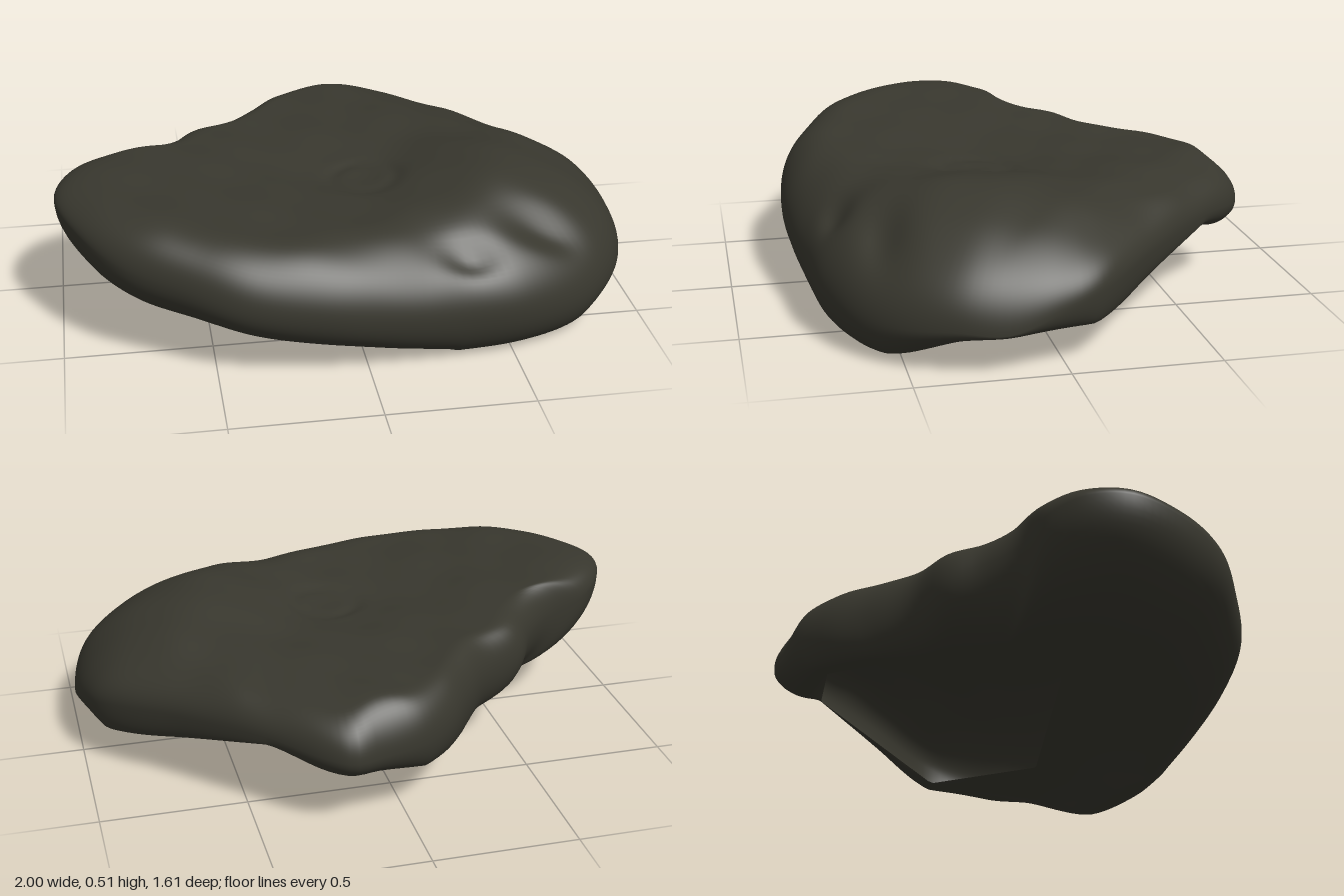
import * as THREE from 'three';
import { mergeVertices } from 'three/addons/utils/BufferGeometryUtils.js';

const SPOKES = 180, TOP_RINGS = 44, UNDER_RINGS = 26;
const CENTRE = { x: 0.2, z: -0.1 };

// Widest outline of the slab: x, height, z
const RIM = [
  [1.0, 0.15, 0.2], [0.965, 0.16, 0.36], [0.88, 0.15, 0.51], [0.74, 0.15, 0.64], [0.53, 0.17, 0.73],
  [0.3, 0.18, 0.76], [0.05, 0.21, 0.79], [-0.15, 0.24, 0.8], [-0.42, 0.28, 0.77], [-0.62, 0.33, 0.68],
  [-0.8, 0.37, 0.57], [-0.93, 0.42, 0.4], [-1.0, 0.45, 0.2], [-0.96, 0.45, 0.05], [-0.87, 0.42, -0.05],
  [-0.71, 0.38, -0.11], [-0.61, 0.36, -0.2], [-0.53, 0.34, -0.32], [-0.38, 0.32, -0.41],
  [-0.28, 0.31, -0.53], [-0.17, 0.3, -0.67], [-0.05, 0.29, -0.75], [0.1, 0.28, -0.785],
  [0.2, 0.28, -0.81], [0.28, 0.29, -0.775], [0.46, 0.31, -0.6], [0.7, 0.29, -0.355],
  [0.935, 0.25, -0.12], [0.985, 0.21, 0.02],
];

// Corners of the opening underneath
const OPENING = [
  [0.83, 0.13, -0.1], [0.44, 0.08, 0.24], [-0.285, 0.13, 0.15],
  [-0.18, 0.16, -0.48], [-0.04, 0.17, -0.64], [0.45, 0.28, -0.605],
];

const { lerp, smoothstep } = THREE.MathUtils;
const bump = (x, z, cx, cz, rx, rz = rx) => Math.exp(-(((x - cx) / rx) ** 2) - ((z - cz) / rz) ** 2);

// Uneven upper face with a shallow round dent
function topHeight(x, z) {
  const r = Math.hypot(x - 0.08, z - 0.13);
  return 0.451
    + 0.07 * smoothstep(-x, 0.1, 0.95)
    + 0.065 * bump(x, z, 0.48, 0.22, 0.24, 0.3)
    - 0.045 * smoothstep(x - z, 0.7, 1.05)
    - 0.03 * bump(x, z, 0.05, 0.1, 0.3)
    - 0.05 * bump(x, z, 0.65, 0.54, 0.14, 0.07)
    - 0.05 * bump(x, z, 0.35, 0.66, 0.09, 0.05)
    - 0.009 * Math.exp(-(((r - 0.115) / 0.03) ** 2))
    - 0.012 * bump(x, z, 0.08, 0.13, 0.09)
    + 0.004 * Math.sin(9 * x + 4 * z) * Math.sin(11 * z - 3 * x)
    + 0.003 * Math.sin(19 * x - 7 * z + 1) * Math.sin(17 * z + 5 * x);
}

// Gently tilted underside, lowest at the front left
function underHeight(x, z) {
  const y = 0.12 - 0.04 * x - 0.07 * z
    - 0.055 * smoothstep(z, 0.2, 0.62) * smoothstep(x, -0.1, 0.4)
    - 0.025 * bump(x, z, 0.38, 0.66, 0.07)
    + 0.06 * smoothstep(x, 0.72, 0.95);
  return Math.max(0.001, y);
}

// Where a ray from the centre meets the edge of the opening
function openingPoint(dx, dz) {
  for (let i = 0; i < OPENING.length; i++) {
    const a = OPENING[i], b = OPENING[(i + 1) % OPENING.length];
    const ex = b[0] - a[0], ez = b[2] - a[2];
    const ax = a[0] - CENTRE.x, az = a[2] - CENTRE.z;
    const det = dx * ez - dz * ex;
    const t = (ax * ez - az * ex) / det, s = (ax * dz - az * dx) / det;
    if (t > 0 && s >= -1e-6 && s <= 1 + 1e-6) {
      return { x: lerp(a[0], b[0], s), y: lerp(a[1], b[1], s), z: lerp(a[2], b[2], s) };
    }
  }
  return { x: CENTRE.x, y: 0.12, z: CENTRE.z };
}

// One cross-section: centre of the top, over the rim, back to the opening
function section(rim) {
  const points = [];
  const rx = rim.x - CENTRE.x, rz = rim.z - CENTRE.z;
  const len = Math.hypot(rx, rz), dx = rx / len, dz = rz / len;
  // The shoulder is broad at the front left, tight elsewhere
  const width = Math.max(0.16, 0.27 + 0.15 * dx + 0.12 * dz
    - 0.28 * Math.max(0, dx - dz - 1) - 0.2 * Math.max(0, dz - dx - 1));
  for (let i = 0; i <= TOP_RINGS; i++) {
    const f = Math.sin((i / TOP_RINGS) * Math.PI / 2);
    const x = CENTRE.x + rx * f, z = CENTRE.z + rz * f;
    const w = Math.max(0, (f - 1 + width) / width);
    const drop = 1 - Math.sqrt(Math.max(0, 1 - w * w));
    points.push([x, lerp(topHeight(x, z), rim.y, drop), z]);
  }
  const hole = openingPoint(dx, dz);
  const gap = Math.hypot(rim.x - hole.x, rim.z - hole.z);
  const frontWidth = lerp(0.6, 0.25, smoothstep(rim.x, -0.75, 0.1));
  const underWidth = lerp(0.6, frontWidth, smoothstep(rim.z, -0.5, 0.1));
  for (let i = 1; i <= UNDER_RINGS; i++) {
    const u = 1 - Math.cos((i / UNDER_RINGS) * Math.PI / 2);
    const x = lerp(rim.x, hole.x, u), z = lerp(rim.z, hole.z, u);
    const w = Math.max(0, 1 - u / underWidth);
    const rise = 1 - Math.sqrt(Math.max(0, 1 - w * w));
    const near = Math.max(u * u, Math.exp(-((gap / 0.25) ** 2)));
    points.push([x, lerp(lerp(underHeight(x, z), hole.y, near), rim.y, rise), z]);
  }
  return points;
}

function slabGeometry() {
  const curve = new THREE.CatmullRomCurve3(RIM.map((p) => new THREE.Vector3(...p)), true, 'centripetal');
  const positions = [], index = [];
  const rows = TOP_RINGS + UNDER_RINGS + 1;
  for (let j = 0; j < SPOKES; j++) {
    for (const p of section(curve.getPointAt(j / SPOKES))) positions.push(...p);
  }
  for (let j = 0; j < SPOKES; j++) {
    for (let i = 0; i < rows - 1; i++) {
      const a = j * rows + i, b = ((j + 1) % SPOKES) * rows + i;
      if (i > 0) index.push(a, b, a + 1);
      index.push(b, b + 1, a + 1);
    }
  }
  const geometry = new THREE.BufferGeometry();
  geometry.setAttribute('position', new THREE.Float32BufferAttribute(positions, 3));
  geometry.setIndex(index);
  const merged = mergeVertices(geometry, 1e-5);
  merged.computeVertexNormals();
  return merged;
}

export function createModel() {
  const stone = new THREE.MeshStandardMaterial({ color: 0x38372e, side: THREE.DoubleSide });
  stone.name = 'dark stone';
  const slab = new THREE.Mesh(slabGeometry(), stone);
  slab.name = 'rockSlab';
  const group = new THREE.Group();
  group.name = 'rock';
  group.add(slab);
  return group;
}
